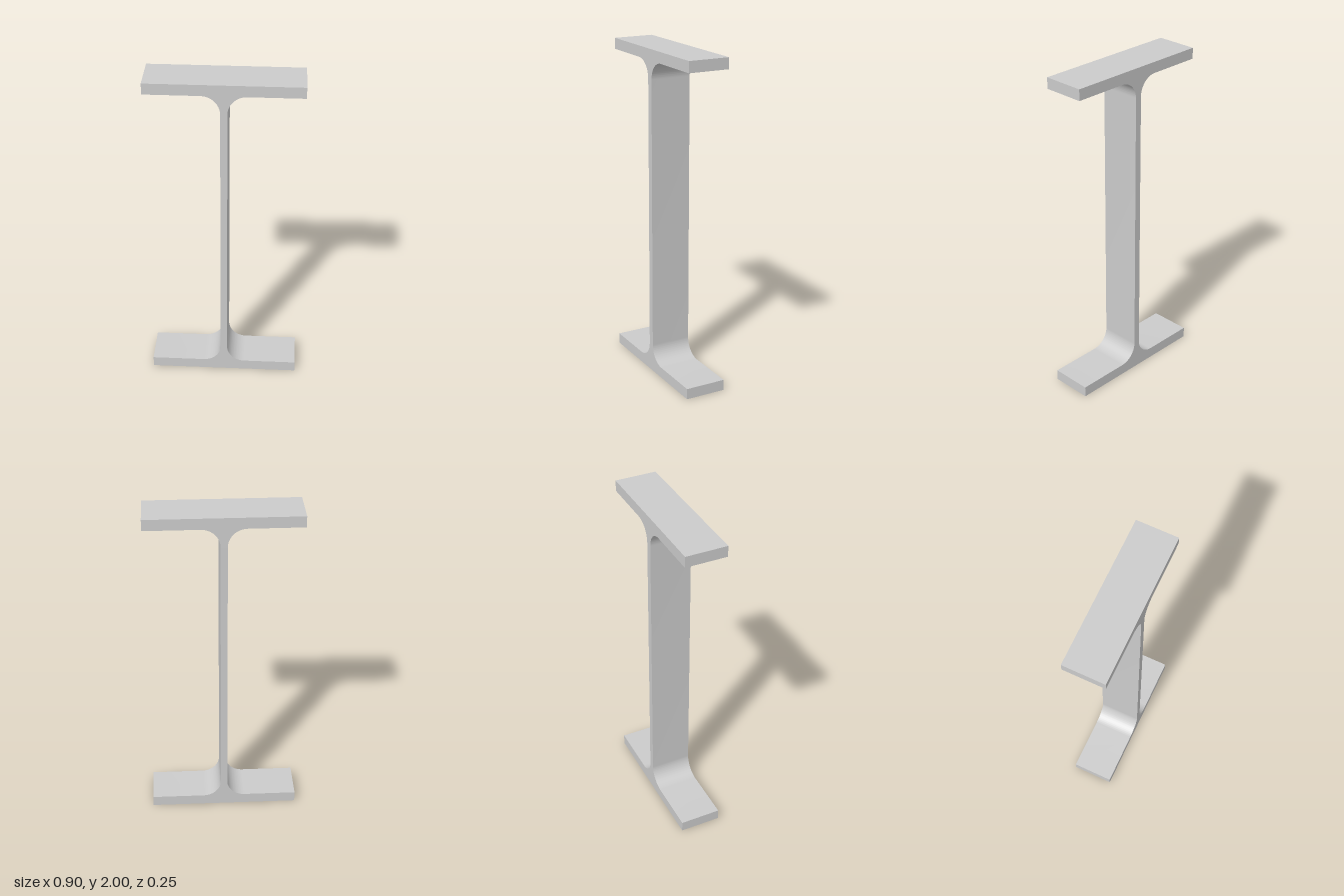
import * as THREE from 'three';
import { toCreasedNormals } from 'three/addons/utils/BufferGeometryUtils.js';

export function createModel() {
  const height = 2, halfWidth = 0.45, depth = 0.25;
  const flange = 0.066, halfWeb = 0.02, radius = 0.11;
  const innerX = halfWeb + radius;      // fillet centre, across
  const low = flange + radius;          // lower fillet centre, up
  const high = height - low;            // upper fillet centre, up

  // I-shaped cross-section with a round fillet where web and flanges meet
  const s = new THREE.Shape();
  s.moveTo(-halfWidth, 0);
  s.lineTo(halfWidth, 0);
  s.lineTo(halfWidth, flange);
  s.absarc(innerX, low, radius, -Math.PI / 2, -Math.PI, true);
  s.absarc(innerX, high, radius, Math.PI, Math.PI / 2, true);
  s.lineTo(halfWidth, height - flange);
  s.lineTo(halfWidth, height);
  s.lineTo(-halfWidth, height);
  s.lineTo(-halfWidth, height - flange);
  s.absarc(-innerX, high, radius, Math.PI / 2, 0, true);
  s.absarc(-innerX, low, radius, 0, -Math.PI / 2, true);
  s.lineTo(-halfWidth, flange);
  s.closePath();

  // Short length of beam, smooth over the fillets and sharp elsewhere
  const extruded = new THREE.ExtrudeGeometry(s, { depth, bevelEnabled: false, curveSegments: 16 });
  extruded.translate(0, 0, -depth / 2);
  const beam = new THREE.Mesh(
    toCreasedNormals(extruded, Math.PI / 6),
    new THREE.MeshStandardMaterial({ color: 0xcccccc })
  );
  beam.name = 'beam';

  const group = new THREE.Group();
  group.name = 'iBeam';
  group.add(beam);
  return group;
}
